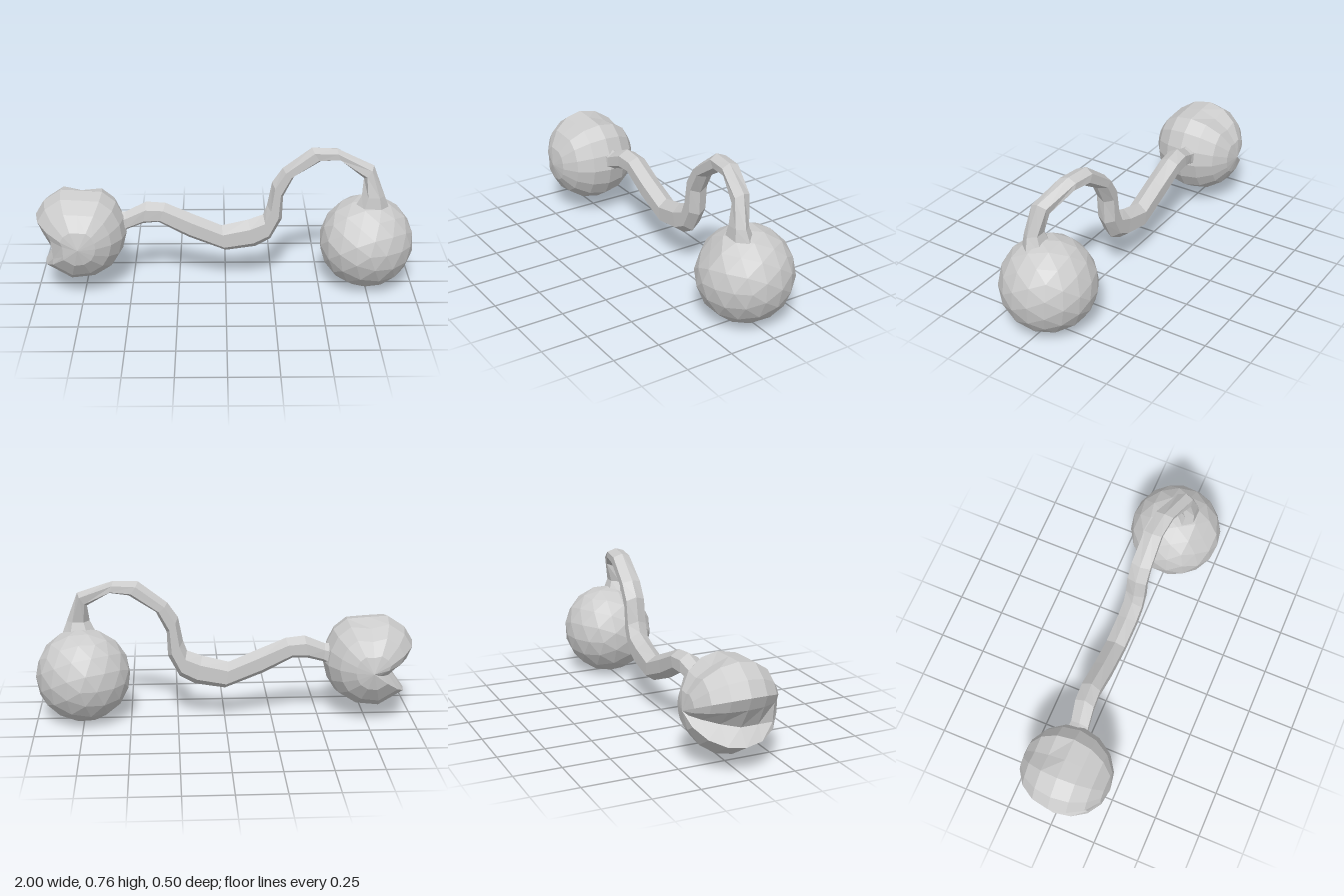
import * as THREE from 'three';

const material = new THREE.MeshStandardMaterial({ color: 0xcccccc, flatShading: true, side: THREE.DoubleSide });

// Faceted skin through a list of closed rings with equal point counts.
function loft(name, rings) {
  const sides = rings[0].length;
  const index = [];
  for (let i = 0; i < rings.length - 1; i++) {
    for (let j = 0; j < sides; j++) {
      const p = i * sides + j;
      const q = i * sides + (j + 1) % sides;
      index.push(p, q, p + sides, q, q + sides, p + sides);
    }
  }
  const geo = new THREE.BufferGeometry();
  geo.setAttribute('position', new THREE.Float32BufferAttribute(rings.flat(2), 3));
  geo.setIndex(index);
  geo.computeVertexNormals();
  const mesh = new THREE.Mesh(geo, material);
  mesh.name = name;
  return mesh;
}

// Ball with a wedge-shaped bite on its outer side, open toward the back.
function bittenBall() {
  const outline = [
    [0.237, 0], [0.225, 0.085], [0.185, 0.17], [0.115, 0.227], [0, 0.235], [-0.1, 0.24], [-0.19, 0.18],
    [-0.235, 0.105], [-0.205, 0.035], [-0.135, -0.075], [-0.195, -0.155], [-0.055, -0.24],
    [0.075, -0.225], [0.17, -0.165], [0.215, -0.09]
  ];
  const dip = 4;
  const notch = 9;
  const steps = 8;
  const rings = [];
  for (let i = 0; i <= steps; i++) {
    const a = (i / steps - 0.5) * Math.PI;
    const z = Math.sin(a);
    const c = Math.cos(a);
    rings.push(outline.map(([x, y], j) => {
      let s = c * 1.01;
      if (j === notch) s = z > 0 ? Math.min(1, c * 1.5) : c * (1 + 0.5 * z);
      if (j === dip && z < 0) s *= 0.92;
      return [x * s, y * s, z * 0.243];
    }));
  }
  const mesh = loft('rightBall', rings);
  mesh.position.set(-0.765, 0.305, 0.005);
  return mesh;
}

// Round faceted ball with a shallow dent beside the bar.
function dentedBall() {
  const geo = new THREE.IcosahedronGeometry(0.25, 2);
  geo.rotateX(0.5).rotateZ(0.35);
  const dent = new THREE.Vector3(-0.35, 0.55, 0.75).normalize();
  const pos = geo.attributes.position;
  const v = new THREE.Vector3();
  for (let i = 0; i < pos.count; i++) {
    v.fromBufferAttribute(pos, i);
    const near = Math.max(0, 1 - v.angleTo(dent) / 0.45);
    v.multiplyScalar(1 - 0.12 * near);
    pos.setXYZ(i, v.x, v.y, v.z);
  }
  geo.computeVertexNormals();
  const mesh = new THREE.Mesh(geo, material);
  mesh.name = 'leftBall';
  mesh.position.set(0.75, 0.248, 0);
  return mesh;
}

// Bent bar: hexagonal rings between an upper and a lower edge.
function bar() {
  // upper x, upper y, lower x, lower y, centre z, half width
  const sections = [
    [-0.58, 0.41, -0.58, 0.27, -0.02, 0.065],
    [-0.53, 0.41, -0.52, 0.31, -0.025, 0.055],
    [-0.42, 0.46, -0.44, 0.335, -0.04, 0.06],
    [-0.32, 0.45, -0.36, 0.34, -0.045, 0.06],
    [-0.17, 0.385, -0.2, 0.255, -0.04, 0.06],
    [-0.02, 0.32, 0.0, 0.175, -0.04, 0.06],
    [0.12, 0.355, 0.16, 0.2, -0.035, 0.06],
    [0.2, 0.385, 0.24, 0.245, -0.035, 0.06],
    [0.22, 0.44, 0.3, 0.36, -0.035, 0.06],
    [0.245, 0.57, 0.305, 0.49, -0.035, 0.06],
    [0.3, 0.65, 0.36, 0.6, -0.035, 0.06],
    [0.45, 0.765, 0.5, 0.69, -0.03, 0.055],
    [0.58, 0.765, 0.6, 0.7, -0.015, 0.055],
    [0.77, 0.69, 0.72, 0.62, 0.035, 0.05],
    [0.83, 0.53, 0.71, 0.53, 0.06, 0.045],
    [0.86, 0.45, 0.67, 0.45, 0.05, 0.065]
  ];
  const sides = 6;
  return loft('bentBar', sections.map(([ux, uy, lx, ly, z, w]) =>
    Array.from({ length: sides }, (_, j) => {
      const a = (j / sides) * Math.PI * 2;
      const c = Math.cos(a) / 2;
      return [(ux + lx) / 2 + (ux - lx) * c, (uy + ly) / 2 + (uy - ly) * c, z + w * Math.sin(a)];
    })));
}

export function createModel() {
  const group = new THREE.Group();
  group.name = 'bentDumbbell';
  group.add(bittenBall(), dentedBall(), bar());
  return group;
}
